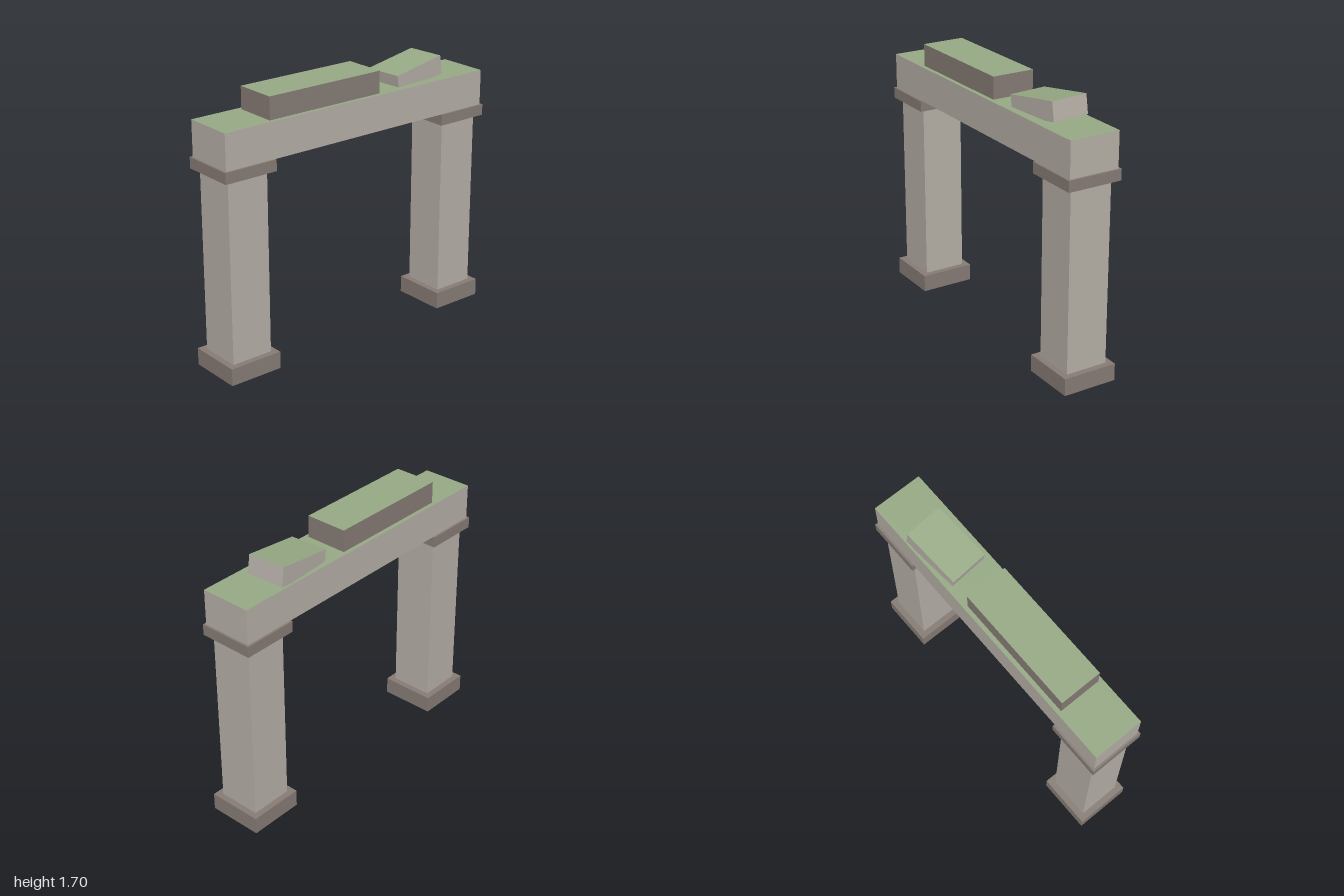
import * as THREE from 'three';

const material = (name, color) => {
  const m = new THREE.MeshStandardMaterial({ color });
  m.name = name;
  return m;
};

export function createModel() {
  const stone = material('pale stone', 0xb5afa6);
  const darkStone = material('dark stone', 0x877c75);
  const moss = material('moss', 0x97aa85);
  darkStone.side = THREE.DoubleSide; // the plinths are hollow underneath

  const model = new THREE.Group();
  model.name = 'stoneArch';

  // Block standing on height y
  const block = (name, parent, [w, h, d], [x, y, z], mat) => {
    const mesh = new THREE.Mesh(new THREE.BoxGeometry(w, h, d), mat);
    mesh.name = name;
    mesh.position.set(x, y + h / 2, z);
    parent.add(mesh);
    return mesh;
  };

  // Box sides in order +x, -x, +y, -y, +z, -z: only the top is mossy
  const mossTopped = (side) => [side, side, moss, side, side, side];

  // Two supports: open-bottomed plinth, square shaft and capital
  for (const side of [-1, 1]) {
    const support = new THREE.Group();
    support.name = side < 0 ? 'rightSupport' : 'leftSupport';
    support.position.x = side * 0.8225;
    model.add(support);

    const plinth = block('plinth', support, [0.355, 0.11, 0.355], [0, 0, 0], darkStone);
    const index = Array.from(plinth.geometry.index.array);
    index.splice(18, 6); // leave out the underside
    plinth.geometry.setIndex(index);
    plinth.geometry.clearGroups();

    block('shaft', support, [0.275, 1.165, 0.275], [0, 0.105, 0], stone);
    block('capital', support, [0.355, 0.07, 0.355], [0, 1.265, 0], darkStone);
  }

  // Lintel across the supports
  block('lintel', model, [1.975, 0.227, 0.328], [0, 1.334, 0], mossTopped(stone));

  // Long block resting on the lintel
  block('topBlock', model, [0.82, 0.142, 0.275], [-0.248, 1.56, 0], mossTopped(darkStone));

  // Loose tilted block, partly sunk into the lintel
  const loose = block('looseBlock', model, [0.385, 0.12, 0.247], [0.509, 1.544, -0.018], mossTopped(stone));
  loose.rotation.set(0, 0.077, 0.148, 'YXZ');

  return model;
}
